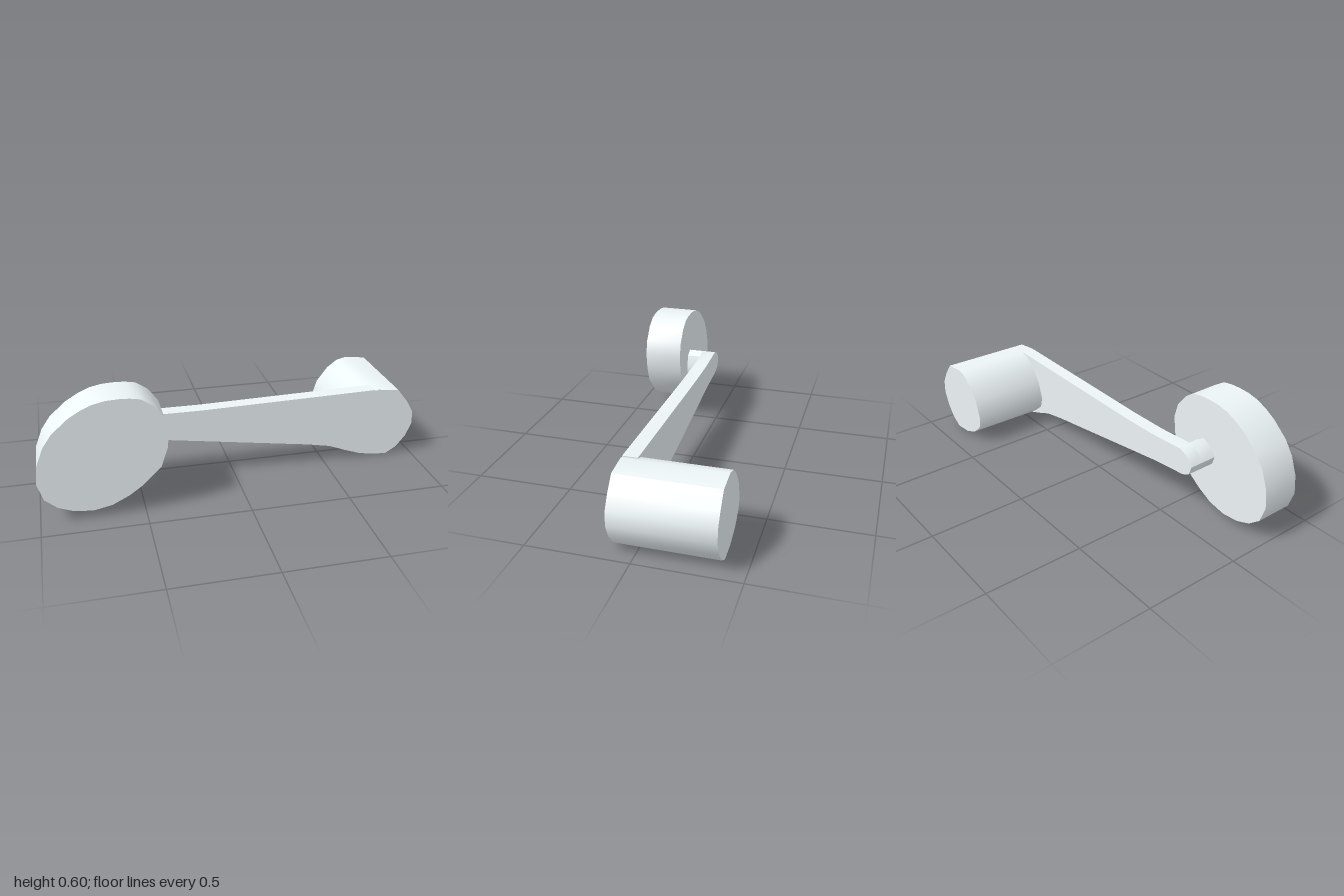
import * as THREE from 'three';
import { toCreasedNormals } from 'three/addons/utils/BufferGeometryUtils.js';

const material = new THREE.MeshStandardMaterial({ color: 0xecf4f6 });

// Straight prism from an x/y outline, between two depths, with smoothed sides
function prism(name, outline, zBack, zFront) {
  const shape = new THREE.Shape(outline.map(([x, y]) => new THREE.Vector2(x, y)));
  const geometry = new THREE.ExtrudeGeometry(shape, { depth: zFront - zBack, bevelEnabled: false });
  geometry.translate(0, 0, zBack);
  const mesh = new THREE.Mesh(toCreasedNormals(geometry, 0.75), material);
  mesh.name = name;
  return mesh;
}

export function createModel() {
  const model = new THREE.Group();
  model.name = 'crankHandle';

  // Rounded, slightly slanted grip disc
  model.add(prism('knob', [
    [-0.6, 0.603], [-0.66, 0.6], [-0.717, 0.588], [-0.775, 0.563], [-0.83, 0.53],
    [-0.91, 0.46], [-0.955, 0.395], [-0.99, 0.305], [-1, 0.21], [-0.973, 0.125],
    [-0.914, 0.075], [-0.84, 0.046], [-0.75, 0.037], [-0.66, 0.055], [-0.578, 0.096],
    [-0.508, 0.145], [-0.417, 0.235], [-0.385, 0.33], [-0.375, 0.417], [-0.395, 0.49],
    [-0.445, 0.556], [-0.5, 0.592], [-0.55, 0.601],
  ], 0.185, 0.385));

  // Short pin joining the knob to the arm
  model.add(prism('pin', [
    [-0.585, 0.385], [-0.635, 0.363], [-0.665, 0.32], [-0.65, 0.275], [-0.61, 0.253],
    [-0.53, 0.264], [-0.525, 0.3], [-0.545, 0.364],
  ], 0.1, 0.19));

  // Flat tapering arm, flaring into the hub
  model.add(prism('arm', [
    [0.77, 0.39], [-0.17, 0.371], [-0.38, 0.372], [-0.585, 0.385], [-0.635, 0.363],
    [-0.665, 0.32], [-0.65, 0.275], [-0.61, 0.255], [-0.417, 0.235], [0.4, 0.11],
    [0.53, 0.085], [0.62, 0.05], [0.7, 0.022], [0.757, 0.01],
  ], 0.032, 0.105));

  // Thick hub running backwards
  model.add(prism('hub', [
    [0.79, 0.39], [0.735, 0.376], [0.68, 0.335], [0.62, 0.255], [0.59, 0.16], [0.605, 0.1],
    [0.67, 0.045], [0.757, 0.01], [0.86, 0], [0.92, 0.037], [0.97, 0.1],
    [1, 0.17], [0.997, 0.24], [0.96, 0.305], [0.904, 0.376],
  ], -0.385, 0.105));

  return model;
}
